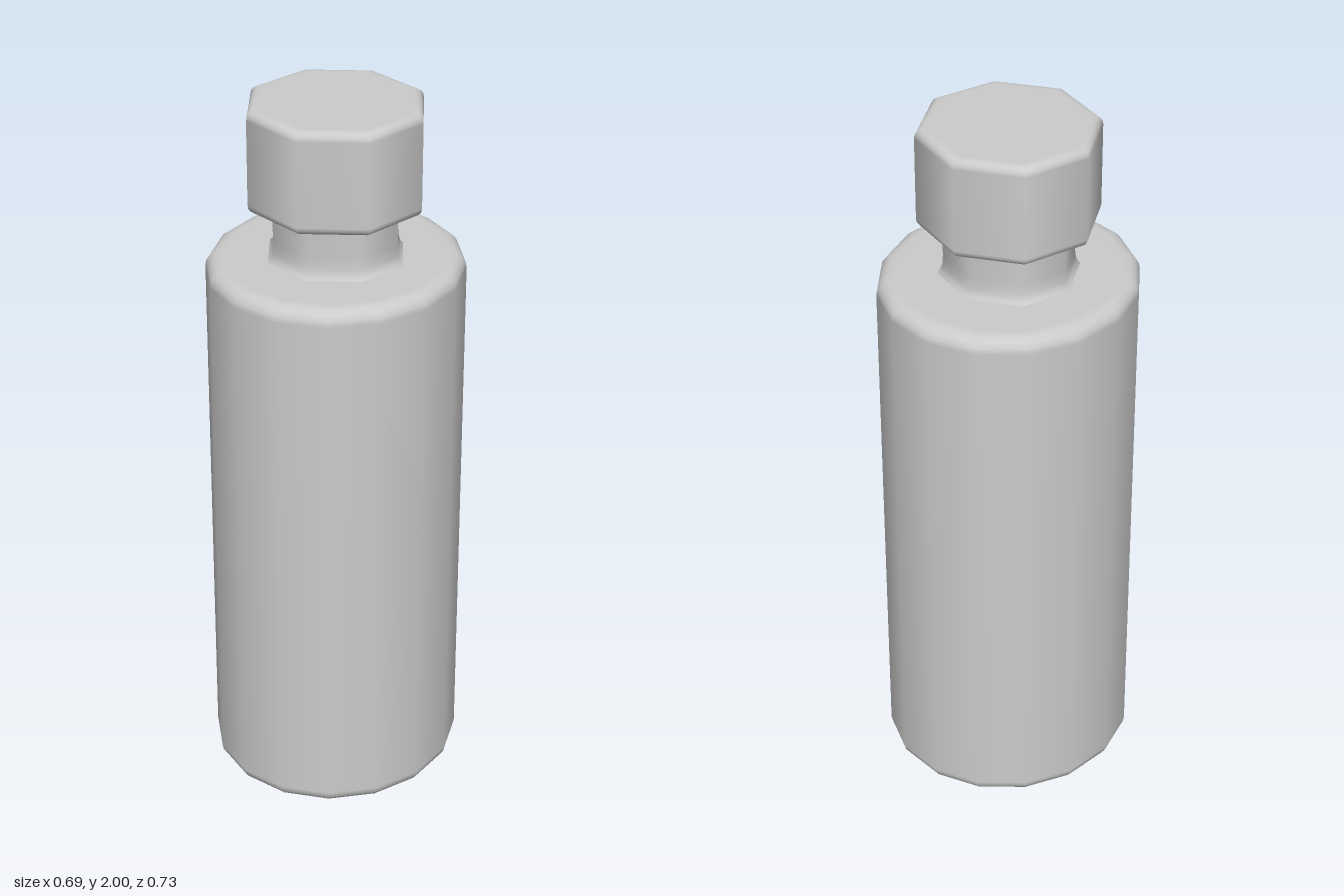
import * as THREE from 'three';

const material = new THREE.MeshStandardMaterial({ color: 0xcccccc });

// Quarter-round corner as profile points, from angle a0 to a1
function corner(cx, cy, r, a0, a1, steps = 4) {
  const pts = [];
  for (let i = 0; i <= steps; i++) {
    const a = a0 + ((a1 - a0) * i) / steps;
    pts.push(new THREE.Vector2(cx + r * Math.cos(a), cy + r * Math.sin(a)));
  }
  return pts;
}

// Closed drum with rounded rims, slightly oval through zScale
function drum(name, radius, bottom, top, bevel, sides, zScale) {
  const inner = radius - bevel;
  const profile = [
    new THREE.Vector2(0, bottom),
    new THREE.Vector2(inner - 0.01, bottom),
    ...corner(inner, bottom + bevel, bevel, -Math.PI / 2, 0),
    ...corner(inner, top - bevel, bevel, 0, Math.PI / 2),
    new THREE.Vector2(inner - 0.01, top),
    new THREE.Vector2(0, top),
  ];
  return lathe(name, profile, sides, zScale);
}

function lathe(name, profile, sides, zScale) {
  const geometry = new THREE.LatheGeometry(profile, sides);
  geometry.scale(1, 1, zScale);
  const mesh = new THREE.Mesh(geometry, material);
  mesh.name = name;
  return mesh;
}

export function createModel() {
  const group = new THREE.Group();
  group.name = 'bottle';

  // Sixteen-sided body
  group.add(drum('body', 0.346, 0, 1.565, 0.04, 16, 1.055));

  // Eight-sided neck, flaring a little where it meets the shoulder
  const neck = [[0.2, 1.56], [0.187, 1.572], [0.181, 1.59], [0.179, 1.62], [0.179, 1.72]];
  group.add(lathe('neck', neck.map(([x, y]) => new THREE.Vector2(x, y)), 8, 0.96));

  // Eight-sided cap
  group.add(drum('cap', 0.246, 1.715, 2, 0.024, 8, 0.985));

  return group;
}
